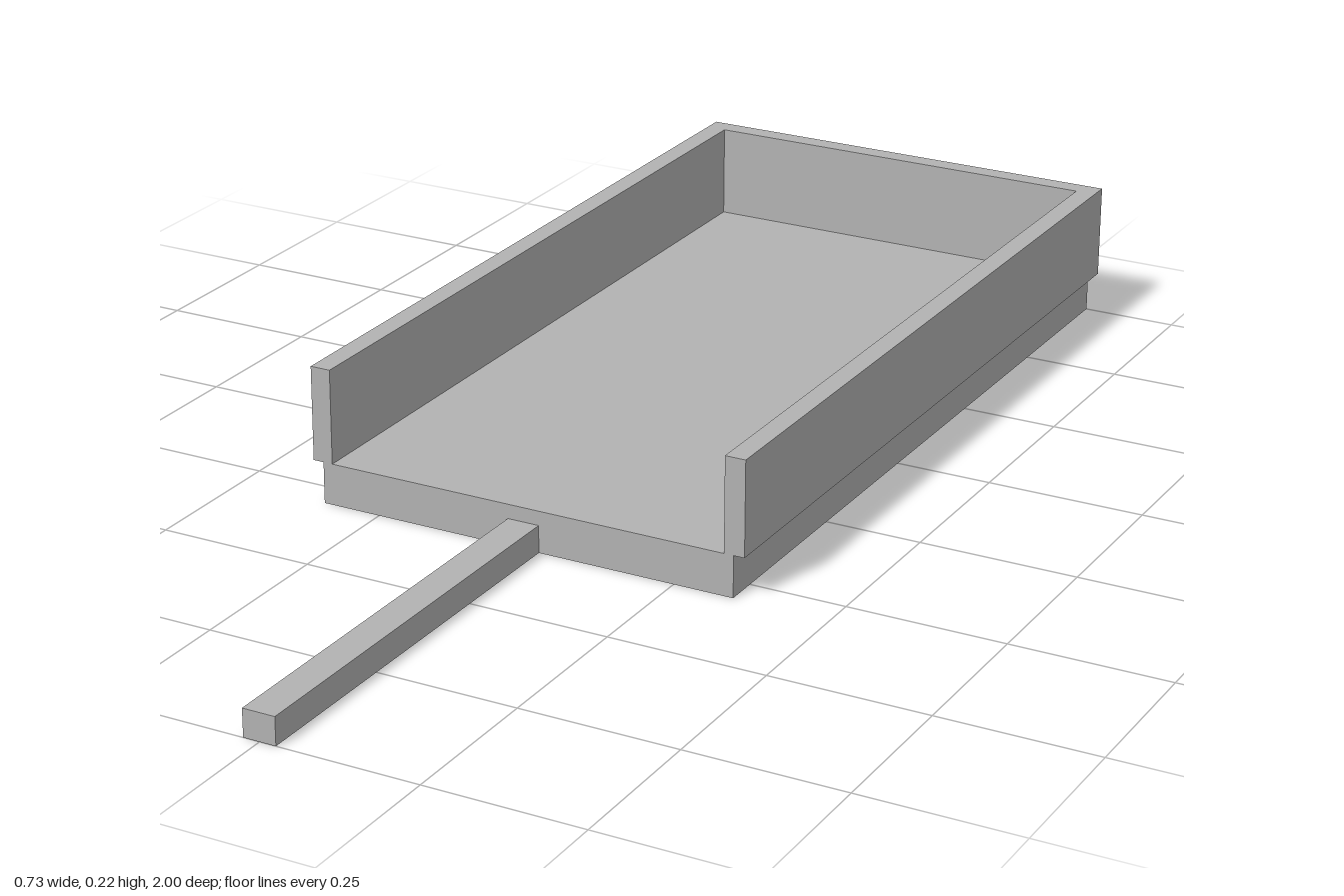
import * as THREE from 'three';

export function createModel() {
  const model = new THREE.Group();
  const grey = new THREE.MeshStandardMaterial({ color: 0xb2b2b2 });
  grey.name = 'plain grey';

  const back = -1, front = 0.303, floorY = 0.067, rimY = 0.219;

  const add = (name, geometry, x, y, z) => {
    const mesh = new THREE.Mesh(geometry, grey);
    mesh.name = name;
    mesh.position.set(x, y, z);
    model.add(mesh);
    return mesh;
  };

  // Solid bed, slightly narrower than the walls above it
  add('bed', new THREE.BoxGeometry(0.693, floorY, front - back),
    0, floorY / 2, (front + back) / 2);

  // U-shaped wall, open at the front; the plan is drawn with y = -z
  const outer = 0.364, inner = 0.331, innerBack = back + 0.032;
  const plan = new THREE.Shape([
    [-outer, front], [-inner, front], [-inner, innerBack], [inner, innerBack],
    [inner, front], [outer, front], [outer, back], [-outer, back],
  ].map(([x, z]) => new THREE.Vector2(x, -z)));
  const walls = new THREE.ExtrudeGeometry(plan, { depth: rimY - floorY, bevelEnabled: false });
  walls.rotateX(-Math.PI / 2);
  add('sideAndBackWalls', walls, 0, floorY, 0);

  // Square drawbar reaching forward from the bed
  const barHeight = 0.044;
  add('drawbar', new THREE.BoxGeometry(0.052, barHeight, 1 - front),
    0, barHeight / 2, (1 + front) / 2);

  return model;
}
